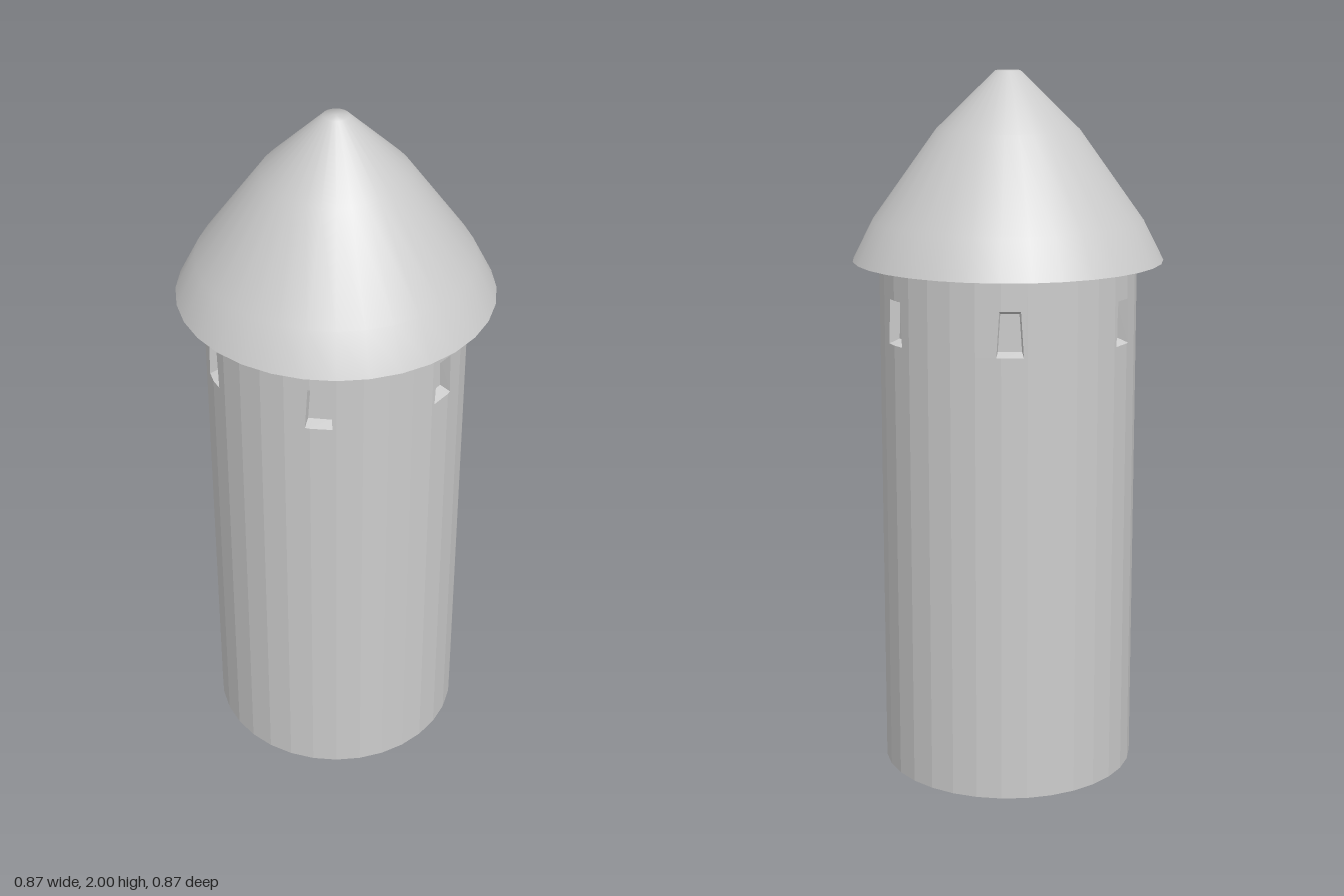
import * as THREE from 'three';

const SIDES = 32, R = 0.363, TOP = 1.48;            // wall
const SILL = 1.265, HEAD = 1.39;                    // window opening
const WB = 0.037 / R, WT = 0.029 / R;               // half-angles at sill and head
const STEP = (Math.PI * 2) / SIDES, GAP = Math.PI / 3;

// Angle from the centre of the nearest of the six windows
const offset = (a) => a - (Math.floor(a / GAP) + 0.5) * GAP;

// Height of the window's upper outline at an angle (falls to the sill at its sides)
const outline = (a) => {
  const t = THREE.MathUtils.clamp((WB - Math.abs(offset(a))) / (WB - WT), 0, 1);
  return SILL + t * (HEAD - SILL);
};

// Point on the flat facet containing mid
function wallPoint(a, y, mid) {
  const centre = (Math.floor(mid / STEP) + 0.5) * STEP;
  const r = (R * Math.cos(STEP / 2)) / Math.cos(a - centre);
  return [r * Math.sin(a), y, r * Math.cos(a)];
}

// Matching point on the recessed, slightly smaller window pane
function panePoint(a, y, mid) {
  const c = (Math.floor(mid / GAP) + 0.5) * GAP;
  const s = R * Math.sin(a - c) * 0.88, depth = 0.33;
  const cy = (SILL + HEAD) / 2;
  return [
    depth * Math.sin(c) + s * Math.cos(c),
    cy + (y - cy) * 0.82,
    depth * Math.cos(c) - s * Math.sin(c),
  ];
}

function quad(out, a, b, c, d) {
  out.push(...a, ...b, ...c, ...a, ...c, ...d);
}

function facetedMesh(positions, name, material) {
  const g = new THREE.BufferGeometry();
  g.setAttribute('position', new THREE.Float32BufferAttribute(positions, 3));
  g.computeVertexNormals();
  const mesh = new THREE.Mesh(g, material);
  mesh.name = name;
  return mesh;
}

export function createModel() {
  const group = new THREE.Group();
  group.name = 'roundTower';
  const flat = new THREE.MeshStandardMaterial({ color: 0xcccccc, flatShading: true, side: THREE.DoubleSide });
  const smooth = new THREE.MeshStandardMaterial({ color: 0xcccccc, side: THREE.DoubleSide });

  // Columns break at facet edges and window corners
  const angles = [];
  for (let i = 0; i <= SIDES; i++) angles.push(i * STEP);
  for (let k = 0; k < 6; k++) {
    for (const d of [-WB, -WT, WT, WB]) angles.push((k + 0.5) * GAP + d);
  }
  angles.sort((a, b) => a - b);

  const wall = [], windows = [];
  for (let i = 0; i < angles.length - 1; i++) {
    const a = angles[i], b = angles[i + 1], mid = (a + b) / 2;
    const ha = outline(a), hb = outline(b);
    const w = (ang, y) => wallPoint(ang, y, mid);
    const p = (ang, y) => panePoint(ang, y, mid);

    // Wall below and above the opening
    quad(wall, w(a, 0), w(b, 0), w(b, SILL), w(a, SILL));
    quad(wall, w(a, ha), w(b, hb), w(b, TOP), w(a, TOP));

    // Sill, head or jamb, and pane
    if (Math.abs(offset(mid)) < WB) {
      quad(windows, w(a, SILL), w(b, SILL), p(b, SILL), p(a, SILL));
      quad(windows, p(a, ha), p(b, hb), w(b, hb), w(a, ha));
      quad(windows, p(a, SILL), p(b, SILL), p(b, hb), p(a, ha));
    }
  }
  group.add(facetedMesh(wall, 'towerWall', flat), facetedMesh(windows, 'windows', flat));

  // Hollow bell-shaped roof with a small blunt tip
  const profile = [[0.437, 1.478], [0.38, 1.59], [0.2, 1.84], [0.035, 2], [0, 2]];
  const roof = new THREE.Mesh(
    new THREE.LatheGeometry(profile.map(([x, y]) => new THREE.Vector2(x, y)), SIDES),
    smooth
  );
  roof.name = 'roof';
  group.add(roof);

  return group;
}
